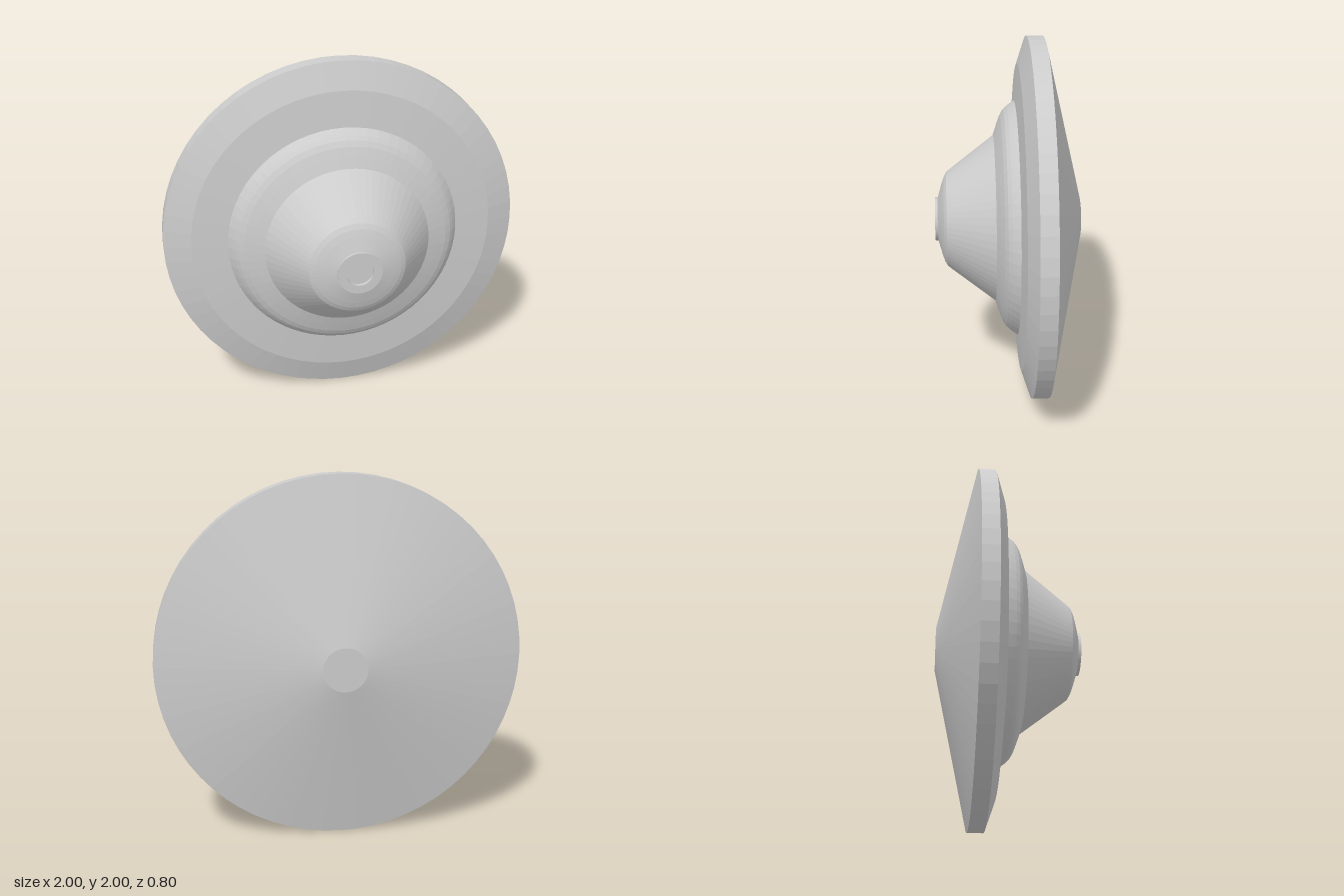
import * as THREE from 'three';

const SEGMENTS = 64;

// Revolve [radius, z] pairs (ordered back to front) around the z axis
function turned(name, profile, material) {
  const points = profile.map(([r, z]) => new THREE.Vector2(r, z));
  const geometry = new THREE.LatheGeometry(points, SEGMENTS);
  geometry.rotateX(Math.PI / 2);
  const mesh = new THREE.Mesh(geometry, material);
  mesh.name = name;
  mesh.position.y = 1;
  return mesh;
}

export function createModel() {
  const group = new THREE.Group();
  group.name = 'bossedDisc';
  const material = new THREE.MeshStandardMaterial({
    color: 0xcccccc, flatShading: true, side: THREE.DoubleSide,
  });

  // Shallow conical back, straight rim and bevelled front face
  group.add(turned('disc', [
    [0, -0.4], [0.12, -0.4], [1, -0.2], [1, -0.11], [0.85, -0.06], [0.65, -0.042],
  ], material));

  // Rounded shoulder stepping into a cone with a rounded nose
  group.add(turned('boss', [
    [0.65, -0.042], [0.635, -0.02], [0.62, 0], [0.6, 0.02], [0.57, 0.037], [0.52, 0.055],
    [0.46, 0.075], [0.282, 0.31], [0.262, 0.335], [0.235, 0.35], [0.2, 0.362], [0.12, 0.385],
  ], material));

  // Small collar with a recessed centre
  group.add(turned('hub', [
    [0.12, 0.38], [0.12, 0.4], [0.073, 0.4], [0.073, 0.38], [0, 0.38],
  ], material));

  return group;
}
